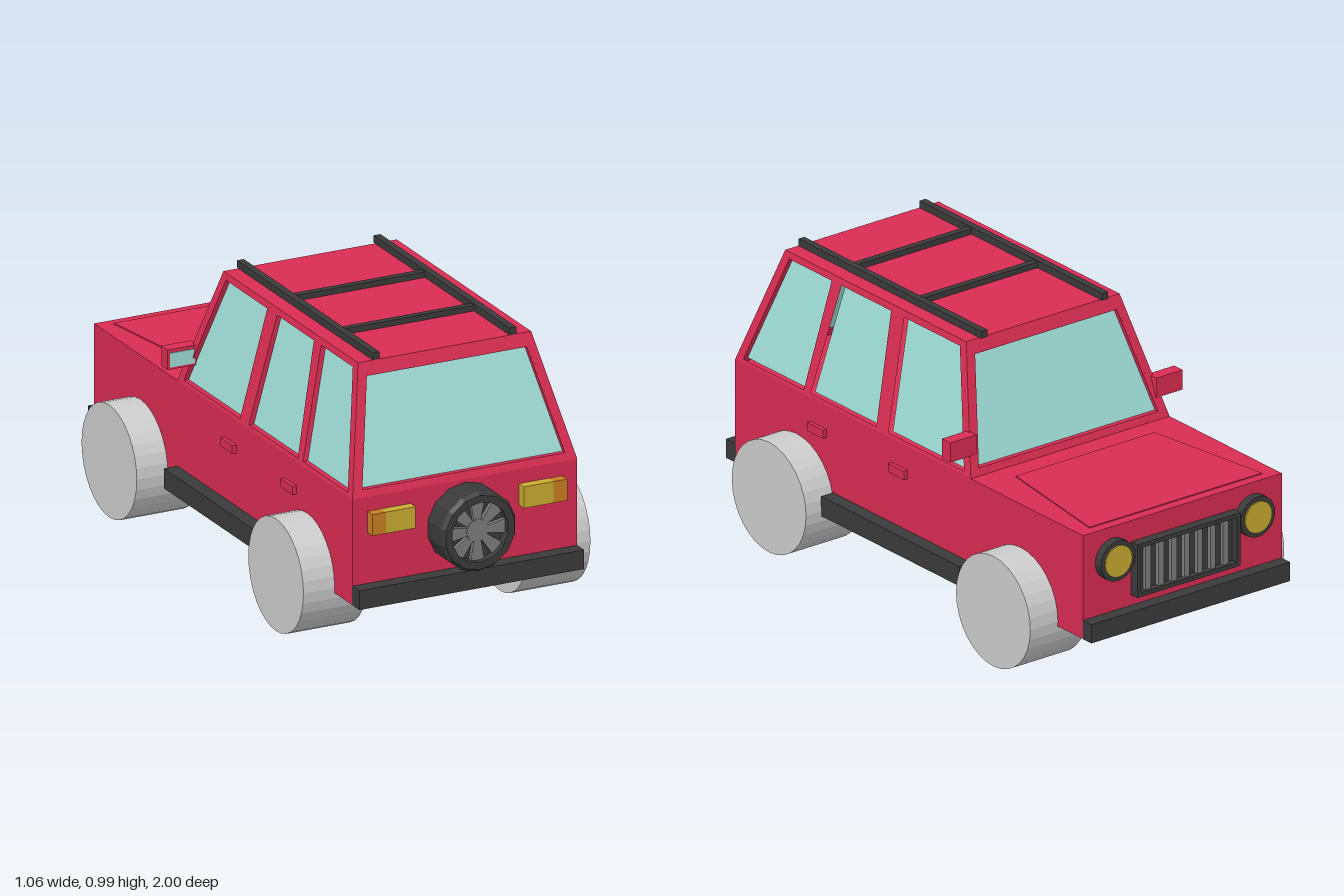
import * as THREE from 'three';

const paint = (color) => new THREE.MeshStandardMaterial({ color, flatShading: true });
const RED = paint(0xd82c52), DARK = paint(0x3a3a3a), GLASS = paint(0x9fdcd6);
const YELLOW = paint(0xc8aa30), ORANGE = paint(0xc87d22), GREY = paint(0xcccccc), STEEL = paint(0x7c7c7c);

const BELT = 0.55, ROOF = 0.965;

function add(parent, name, geometry, material) {
  const mesh = new THREE.Mesh(geometry, material);
  mesh.name = name;
  parent.add(mesh);
  return mesh;
}

// Box given by its min and max on each axis
function box(parent, name, [x0, x1], [y0, y1], [z0, z1], material) {
  const g = new THREE.BoxGeometry(Math.abs(x1 - x0), y1 - y0, z1 - z0);
  g.translate((x0 + x1) / 2, (y0 + y1) / 2, (z0 + z1) / 2);
  return add(parent, name, g, material);
}

const polygon = (pts) => new THREE.Shape(pts.map(([x, y]) => new THREE.Vector2(x, y)));

// Cylinder along z from z0 to z1
function discZ(parent, name, r, x, y, z0, z1, sides, material) {
  const g = new THREE.CylinderGeometry(r, r, z1 - z0, sides);
  g.rotateX(Math.PI / 2).translate(x, y, (z0 + z1) / 2);
  return add(parent, name, g, material);
}

// Leaning cabin wall with window openings and inset panes
function cabinWall(parent, name, outline, windows, distance, slope, angle) {
  const group = new THREE.Group();
  group.name = name;
  group.rotation.y = angle;
  const lean = (shape, depth, inset) => {
    const g = new THREE.ExtrudeGeometry(shape, { depth, bevelEnabled: false });
    const p = g.attributes.position;
    for (let i = 0; i < p.count; i++) {
      p.setZ(i, p.getZ(i) + distance - inset - depth - slope * (p.getY(i) - BELT));
    }
    g.computeVertexNormals();
    return g;
  };
  const frame = polygon(outline);
  windows.forEach((w) => frame.holes.push(polygon(w)));
  add(group, name + 'Frame', lean(frame, 0.035, 0), RED);
  windows.forEach((w) => add(group, 'windowGlass', lean(polygon(w), 0.008, 0.018), GLASS));
  parent.add(group);
}

function buildCabin(car) {
  const endOutline = [[-0.415, BELT], [0.415, BELT], [0.32, ROOF], [-0.32, ROOF]];
  const endWindow = [[-0.38, 0.575], [0.38, 0.575], [0.302, 0.92], [-0.302, 0.92]];
  cabinWall(car, 'tailgateWall', endOutline, [endWindow], 0.89, 0.349, 0);
  cabinWall(car, 'windshieldWall', endOutline, [endWindow], 0.36, 0.349, Math.PI);

  // Side points are given as [z, y]
  const sideOutline = [[-0.36, BELT], [0.89, BELT], [0.745, ROOF], [-0.215, ROOF]];
  const lo = 0.563, hi = 0.943;
  const sideWindows = [
    [[0.53, lo], [0.858, lo], [0.73, hi], [0.492, hi]],
    [[0.145, lo], [0.493, lo], [0.44, hi], [0.177, hi]],
    [[-0.32, lo], [0.08, lo], [0.107, hi], [-0.193, hi]],
  ];
  for (const s of [1, -1]) {
    const turn = (pts) => pts.map(([z, y]) => [-s * z, y]);
    cabinWall(car, s > 0 ? 'leftCabinWall' : 'rightCabinWall', turn(sideOutline),
      sideWindows.map(turn), 0.415, 0.229, s * Math.PI / 2);
  }
  box(car, 'roof', [-0.319, 0.319], [0.945, ROOF], [-0.214, 0.744], RED);

  // Roof rack
  for (const s of [1, -1]) box(car, 'roofRail', [s * 0.24, s * 0.265], [ROOF, 0.99], [-0.225, 0.745], DARK);
  for (const z of [0.13, 0.48]) box(car, 'roofCrossbar', [-0.245, 0.245], [ROOF, 0.985], [z - 0.012, z + 0.012], DARK);
}

function buildSpareWheel(car) {
  const spare = new THREE.Group();
  spare.name = 'spareWheel';
  spare.position.set(0, 0.4, 0);
  const profile = [[0.105, 0.89], [0.14, 0.89], [0.14, 0.985], [0.13, 1.0], [0.105, 1.0], [0.105, 0.89]];
  const tyre = new THREE.LatheGeometry(profile.map(([r, z]) => new THREE.Vector2(r, z)), 14);
  tyre.rotateX(Math.PI / 2);
  add(spare, 'spareTyre', tyre, DARK);
  discZ(spare, 'spareRim', 0.105, 0, 0, 0.89, 0.965, 14, DARK);
  discZ(spare, 'spareHub', 0.042, 0, 0, 0.96, 0.982, 8, STEEL);
  const spoke = polygon([[-0.012, 0.03], [0.012, 0.03], [0.025, 0.103], [-0.025, 0.103]]);
  for (let i = 0; i < 8; i++) {
    const g = new THREE.ExtrudeGeometry(spoke, { depth: 0.018, bevelEnabled: false });
    g.translate(0, 0, 0.962).rotateZ(i * Math.PI / 4);
    add(spare, 'spareSpoke', g, STEEL);
  }
  car.add(spare);
}

function buildNose(car) {
  // Hood panel
  const hood = new THREE.ExtrudeGeometry(
    polygon([[-0.36, 0.92], [0.36, 0.92], [0.29, 0.44], [-0.29, 0.44]]), { depth: 0.004, bevelEnabled: false });
  hood.rotateX(-Math.PI / 2).translate(0, BELT, 0);
  add(car, 'hoodPanel', hood, RED);

  // Grille: backing, frame and slats
  const w = 0.215;
  box(car, 'grilleBack', [-w, w], [0.285, 0.475], [-0.965, -0.95], DARK);
  for (const y of [0.285, 0.46]) box(car, 'grilleFrame', [-w, w], [y, y + 0.015], [-0.99, -0.95], DARK);
  for (const s of [1, -1]) box(car, 'grilleFrame', [s * (w - 0.015), s * w], [0.285, 0.475], [-0.99, -0.95], DARK);
  for (let i = -3; i <= 3; i++) {
    box(car, 'grilleSlat', [i * 0.054 - 0.011, i * 0.054 + 0.011], [0.3, 0.46], [-0.98, -0.96], STEEL);
  }
  for (const s of [1, -1]) {
    discZ(car, 'headlightRing', 0.072, s * 0.292, 0.437, -0.985, -0.95, 20, DARK);
    discZ(car, 'headlightLens', 0.056, s * 0.292, 0.437, -0.99, -0.98, 20, YELLOW);
  }
}

export function createModel() {
  const car = new THREE.Group();
  car.name = 'offRoadCar';

  box(car, 'body', [-0.415, 0.415], [0.18, BELT], [-0.955, 0.89], RED);
  box(car, 'rearBumper', [-0.415, 0.415], [0.18, 0.247], [0.885, 0.94], DARK);
  box(car, 'frontBumper', [-0.415, 0.415], [0.18, 0.247], [-1.0, -0.95], DARK);
  buildCabin(car);
  buildSpareWheel(car);
  buildNose(car);

  for (const s of [1, -1]) {
    // Tail lights
    box(car, 'tailLight', [s * 0.2, s * 0.31], [0.425, 0.5], [0.885, 0.925], YELLOW);
    box(car, 'turnSignal', [s * 0.31, s * 0.36], [0.425, 0.5], [0.885, 0.925], ORANGE);

    // Sill steps and door handles
    box(car, 'sideStep', [s * 0.41, s * 0.465], [0.18, 0.25], [-0.36, 0.37], DARK);
    for (const z of [-0.025, 0.405]) {
      box(car, 'doorHandle', [s * 0.41, s * 0.43], [0.435, 0.465], [z, z + 0.085], RED);
    }

    // Door mirrors
    box(car, 'mirrorHousing', [s * 0.375, s * 0.485], [0.62, 0.69], [-0.34, -0.295], RED);
    box(car, 'mirrorGlass', [s * 0.385, s * 0.477], [0.628, 0.678], [-0.3, -0.292], GLASS);

    // Wheels
    for (const z of [0.565, -0.625]) {
      const tyre = new THREE.CylinderGeometry(0.197, 0.197, 0.235, 32);
      tyre.rotateZ(Math.PI / 2).translate(s * 0.4125, 0.198, z);
      add(car, 'wheel', tyre, GREY);
      if (z > 0) {
        const hub = new THREE.CylinderGeometry(0.163, 0.163, 0.01, 32);
        hub.rotateZ(Math.PI / 2).translate(s * 0.297, 0.198, z);
        add(car, 'wheelInnerHub', hub, DARK);
      }
    }
  }
  return car;
}
